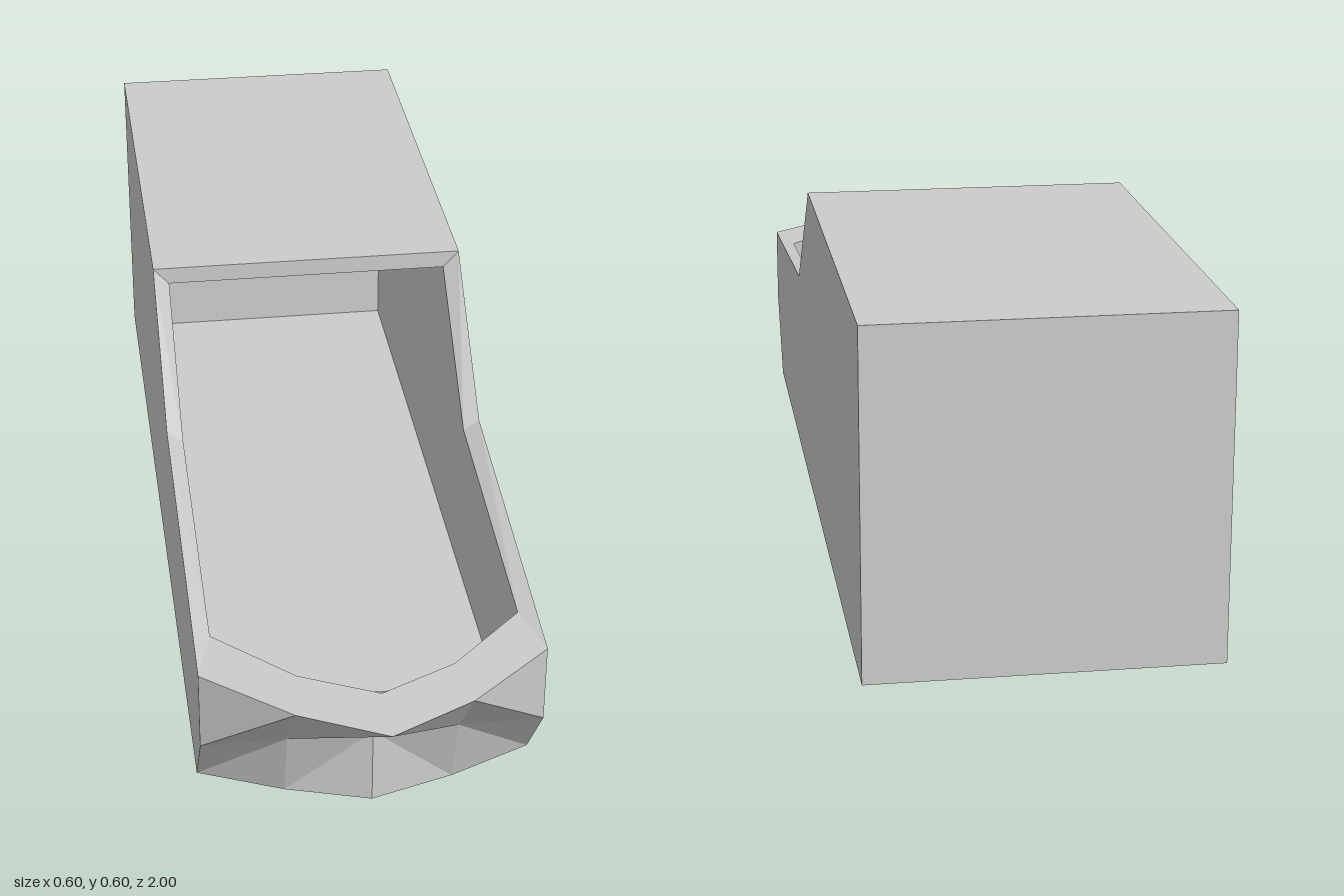
import * as THREE from 'three';

const UP = [0, 1, 0], DOWN = [0, -1, 0], FRONT = [0, 0, 1], BACK = [0, 0, -1];

// Collects flat polygons; each is fanned from its first corner and turned to face a given direction
class Panels {
  constructor() { this.positions = []; }
  add(facing, ...corners) {
    const v = corners.map(c => new THREE.Vector3(...c));
    const dir = new THREE.Vector3(...facing);
    for (let i = 1; i < v.length - 1; i++) {
      const t = [v[0], v[i], v[i + 1]];
      const n = t[1].clone().sub(t[0]).cross(t[2].clone().sub(t[0]));
      if (n.dot(dir) < 0) t.reverse();
      for (const p of t) this.positions.push(p.x, p.y, p.z);
    }
    return this;
  }
  mesh(name, material) {
    const g = new THREE.BufferGeometry();
    g.setAttribute('position', new THREE.Float32BufferAttribute(this.positions, 3));
    g.computeVertexNormals();
    const m = new THREE.Mesh(g, material);
    m.name = name;
    return m;
  }
}

// Rows are half sections running from the centre line outwards; both halves are faceted alike
function facetBow(panels, facing, rows) {
  for (const s of [1, -1]) {
    const at = (r, i) => [s * rows[r][i][0], rows[r][i][1], rows[r][i][2]];
    for (let r = 0; r < rows.length - 1; r++) {
      for (let i = 0; i < 2; i++) {
        panels.add(facing, at(r, i), at(r + 1, i + 1), at(r, i + 1));
        panels.add(facing, at(r, i), at(r + 1, i), at(r + 1, i + 1));
      }
    }
  }
}

export function createModel() {
  const group = new THREE.Group();
  const material = new THREE.MeshStandardMaterial({ color: 0xcccccc, flatShading: true });

  const W = 0.3, w = 0.27;                  // outer and inner half widths
  const H = 0.6, h = 0.567;                 // roof and ceiling heights
  const floorY = 0.03, rearZ = -0.9;        // cavity floor and rear wall
  const edgeZ = -0.1, kinkZ = 0.16;         // roof front edge, bend of the side rims
  const foreZ = 0.69;                       // front of the cavity box

  // Half rows of the bow, from centre to side
  const outer = [
    [[0, 0.3, 1], [0.15, 0.3, 0.925], [W, 0.3, 0.8]],
    [[0, 0.15, 0.8], [0.15, 0.15, 0.8], [W, 0.15, 0.8]],
    [[0, 0, 0.8], [0.15, 0, 0.755], [W, 0, 0.69]],
  ];
  const inner = [
    [[0, 0.3, 0.885], [0.135, 0.3, 0.82], [w, 0.3, foreZ]],
    [[0, 0.15, foreZ], [0.135, 0.15, foreZ], [w, 0.15, foreZ]],
  ];
  const flip = ([x, y, z]) => [-x, y, z];

  const hull = new Panels(), bow = new Panels(), rim = new Panels();
  const cavity = new Panels(), innerBow = new Panels();

  // Roof, rear and bottom
  hull.add(UP, [-W, H, -1], [W, H, -1], [W, H, edgeZ], [-W, H, edgeZ]);
  hull.add(BACK, [-W, 0, -1], [W, 0, -1], [W, H, -1], [-W, H, -1]);
  const keel = outer[2];
  hull.add(DOWN, [-W, 0, -1], [W, 0, -1], keel[2], keel[1], keel[0], flip(keel[1]), flip(keel[2]));

  // Side walls with their bevelled rims; the two rims bend at slightly different heights
  for (const s of [1, -1]) {
    const k = s > 0 ? 0.368 : 0.387;
    const out = (z, y) => [s * W, y, z];
    const inn = (z, y) => [s * w, y, z];
    hull.add([s, 0, 0], out(kinkZ, k), out(edgeZ, H), out(-1, H), out(-1, 0),
      out(foreZ, 0), out(0.8, 0.15), out(0.8, 0.3));
    cavity.add([-s, 0, 0], inn(kinkZ, k - 0.019), inn(edgeZ, h), inn(rearZ, h),
      inn(rearZ, floorY), inn(foreZ, floorY), inn(foreZ, 0.3));
    rim.add(UP, out(edgeZ, H), inn(edgeZ, h), inn(kinkZ, k - 0.019), out(kinkZ, k));
    rim.add(UP, out(kinkZ, k), inn(kinkZ, k - 0.019), inn(foreZ, 0.3), out(0.8, 0.3));

    // Flat rim around the bow
    for (let i = 0; i < 2; i++) {
      const quad = [outer[0][i], outer[0][i + 1], inner[0][i + 1], inner[0][i]];
      rim.add(UP, ...(s > 0 ? quad : quad.map(flip)));
    }
  }

  // Header strip under the roof edge
  rim.add(FRONT, [-W, H, edgeZ], [W, H, edgeZ], [w, h, edgeZ], [-w, h, edgeZ]);

  // Floor, ceiling, rear and front walls of the cavity
  cavity.add(UP, [-w, floorY, rearZ], [w, floorY, rearZ], [w, floorY, foreZ], [-w, floorY, foreZ]);
  cavity.add(DOWN, [-w, h, rearZ], [w, h, rearZ], [w, h, edgeZ], [-w, h, edgeZ]);
  cavity.add(FRONT, [-w, floorY, rearZ], [w, floorY, rearZ], [w, h, rearZ], [-w, h, rearZ]);
  cavity.add(BACK, [-w, floorY, foreZ], [w, floorY, foreZ], [w, 0.15, foreZ], [-w, 0.15, foreZ]);

  // Faceted bow, outside and inside
  facetBow(bow, FRONT, outer);
  facetBow(innerBow, BACK, inner);

  group.add(
    hull.mesh('hull', material),
    bow.mesh('bow', material),
    rim.mesh('rim', material),
    cavity.mesh('cavity', material),
    innerBow.mesh('innerBow', material),
  );
  return group;
}
